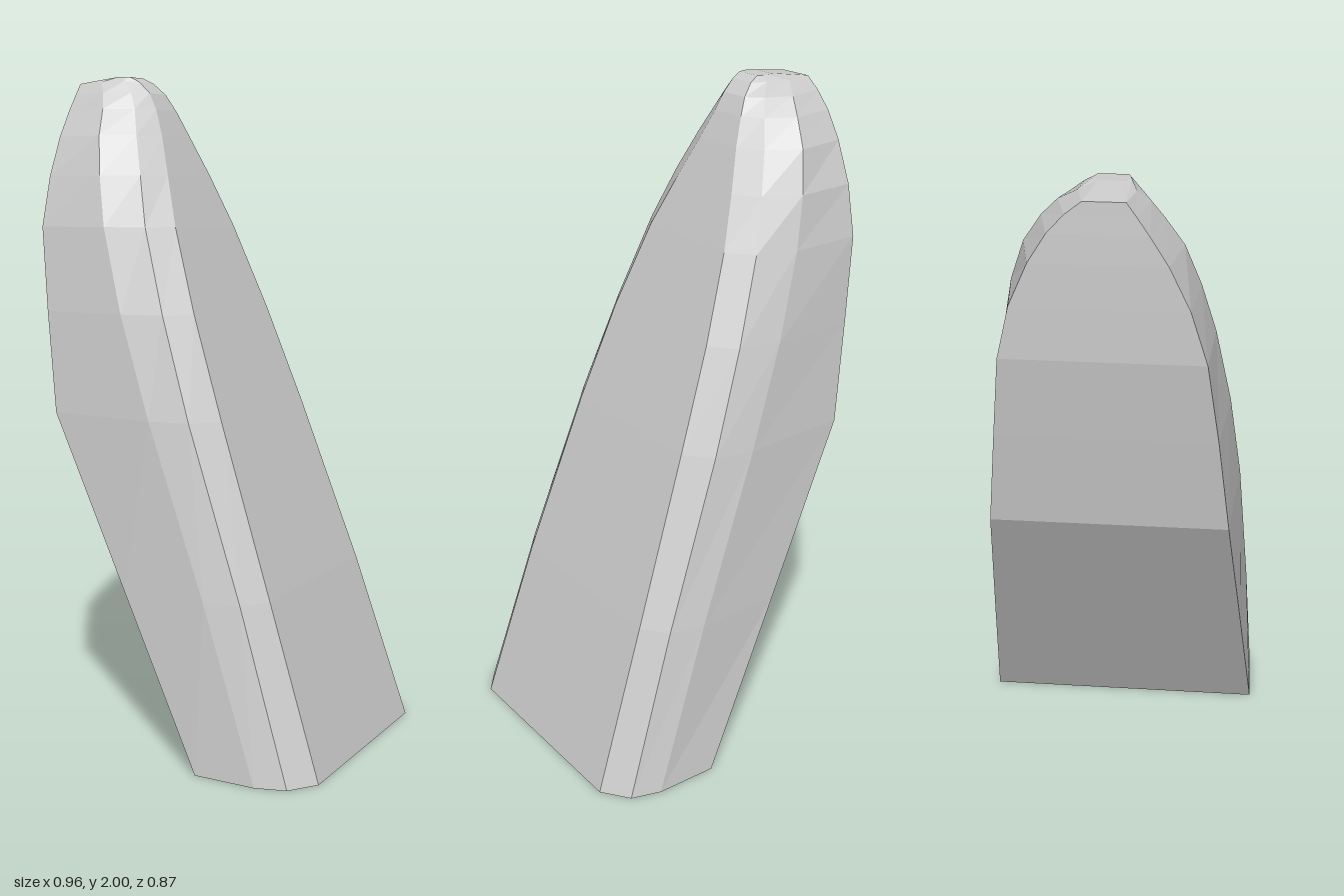
import * as THREE from 'three';

// Horizontal sections, bottom to top:
// [y, z shift, then (x, half width) for back edge, side, shoulder, front face edge]
const SECTIONS = [
  [0, 0, 0.14, 0.437, 0.33, 0.437, 0.42, 0.41, 0.48, 0.33],
  [0.5, 0, -0.125, 0.389, 0.15, 0.405, 0.255, 0.38, 0.312, 0.305],
  [1.0, 0, -0.39, 0.34, -0.05, 0.367, 0.07, 0.345, 0.133, 0.265],
  [1.3, -0.003, -0.44, 0.307, -0.165, 0.333, -0.04, 0.305, 0.022, 0.23],
  [1.55, -0.008, -0.48, 0.276, -0.25, 0.291, -0.13, 0.255, -0.072, 0.18],
  [1.7, -0.014, -0.483, 0.235, -0.29, 0.255, -0.18, 0.205, -0.13, 0.13],
  [1.82, -0.016, -0.484, 0.18, -0.32, 0.212, -0.225, 0.155, -0.178, 0.085],
  [1.9, -0.016, -0.483, 0.13, -0.34, 0.16, -0.255, 0.115, -0.213, 0.06],
  [1.95, -0.01, -0.481, 0.09, -0.36, 0.12, -0.28, 0.09, -0.24, 0.048],
  [1.985, 0, -0.48, 0.055, -0.39, 0.075, -0.315, 0.065, -0.275, 0.042],
  [2.0, 0.008, -0.36, 0.035, -0.34, 0.05, -0.32, 0.046, -0.305, 0.04],
];

// Mirror each half section into a closed ring of eight points
function ring([y, shift, ...p]) {
  const points = [];
  for (let i = 0; i < 4; i++) points.push([p[2 * i], y, shift + p[2 * i + 1]]);
  for (let i = 3; i >= 0; i--) points.push([p[2 * i], y, shift - p[2 * i + 1]]);
  return points;
}

function slabGeometry() {
  const rings = SECTIONS.map(ring);
  const n = rings[0].length;
  const index = [];
  for (let j = 0; j < rings.length - 1; j++) {
    for (let i = 0; i < n; i++) {
      const a = j * n + i, b = j * n + ((i + 1) % n);
      index.push(a, b, b + n, a, b + n, a + n);
    }
  }
  // Base and crown caps
  const top = (rings.length - 1) * n;
  for (let i = 1; i < n - 1; i++) {
    index.push(0, i + 1, i);
    index.push(top, top + i, top + i + 1);
  }
  const indexed = new THREE.BufferGeometry();
  indexed.setAttribute('position', new THREE.Float32BufferAttribute(rings.flat(2), 3));
  indexed.setIndex(index);
  const geometry = indexed.toNonIndexed();
  geometry.computeVertexNormals();
  return geometry;
}

export function createModel() {
  const stone = new THREE.MeshStandardMaterial({ color: 0xcccccc, flatShading: true });
  stone.name = 'pale grey stone';

  // Leaning slab with a rounded crown and chamfered front edges
  const slab = new THREE.Mesh(slabGeometry(), stone);
  slab.name = 'leaningStone';

  const model = new THREE.Group();
  model.name = 'standingStone';
  model.add(slab);
  return model;
}
